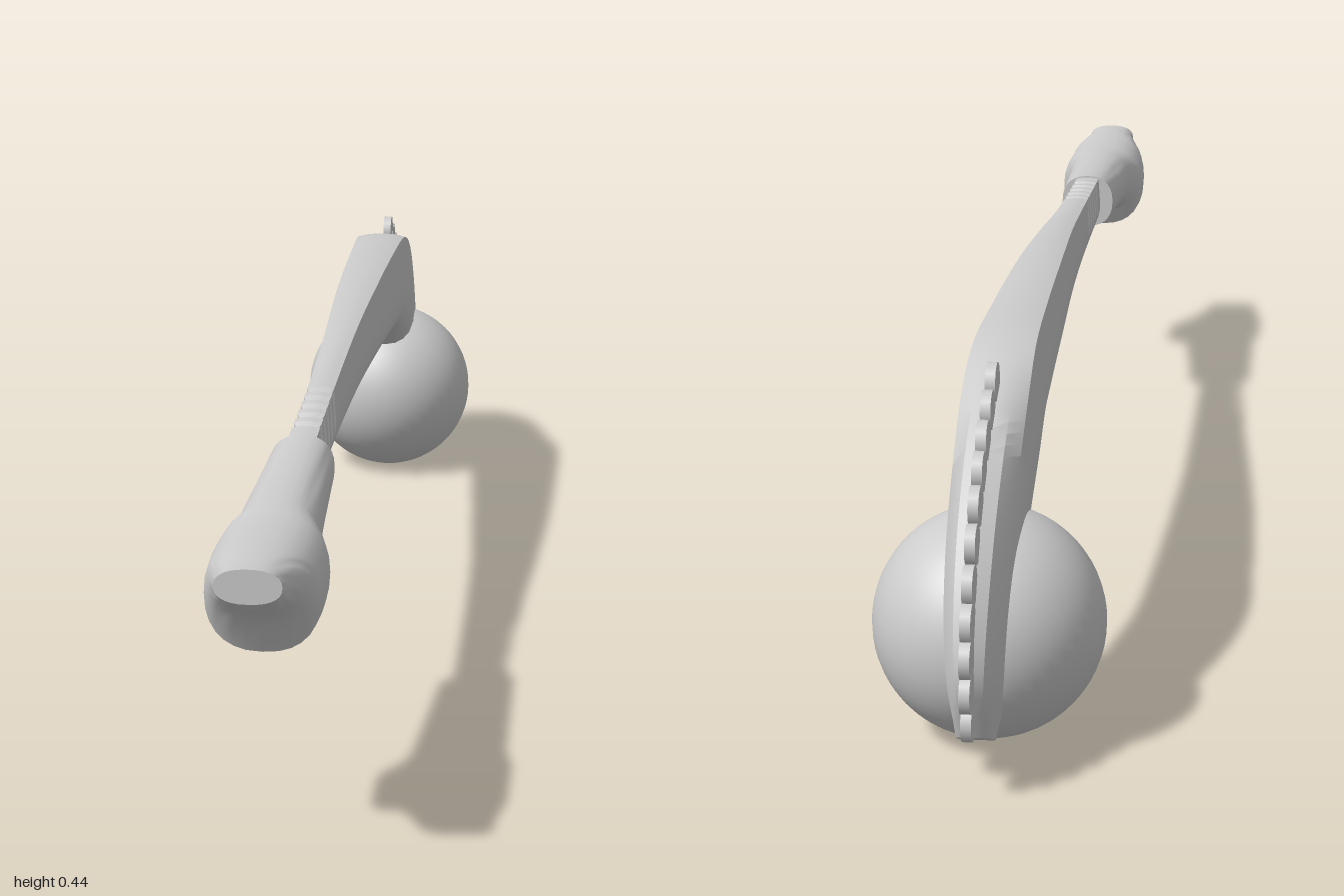
import * as THREE from 'three';
import { toCreasedNormals } from 'three/addons/utils/BufferGeometryUtils.js';

const material = new THREE.MeshStandardMaterial({ color: 0xcccccc, side: THREE.DoubleSide });

// Skin a list of closed rings (counter-clockwise seen from +z, running towards -z) and cap both ends
function loft(rings, crease) {
  const n = rings[0].length, pos = [], idx = [];
  rings.forEach(r => r.forEach(p => pos.push(p.x, p.y, p.z)));
  for (let i = 0; i < rings.length - 1; i++) {
    for (let j = 0; j < n; j++) {
      const a = i * n + j, b = i * n + (j + 1) % n;
      idx.push(a, a + n, b, b, a + n, b + n);
    }
  }
  const last = rings.length - 1;
  [0, last].forEach(k => {
    const c = rings[k].reduce((s, p) => s.add(p), new THREE.Vector3()).divideScalar(n);
    const ci = pos.length / 3;
    pos.push(c.x, c.y, c.z);
    for (let j = 0; j < n; j++) {
      const a = k * n + j, b = k * n + (j + 1) % n;
      if (k === 0) idx.push(ci, a, b); else idx.push(ci, b, a);
    }
  });
  const g = new THREE.BufferGeometry();
  g.setAttribute('position', new THREE.Float32BufferAttribute(pos, 3));
  g.setIndex(idx);
  return toCreasedNormals(g, crease);
}

// Shaft stations: top z, top y, bottom z, bottom y, half width
const stations = [
  [0.52, 0.39, 0.52, 0.318, 0.02], [0.2, 0.408, 0.2, 0.316, 0.021],
  [0, 0.424, 0, 0.316, 0.026], [-0.2, 0.434, -0.2, 0.31, 0.033],
  [-0.45, 0.436, -0.4, 0.298, 0.039], [-0.6, 0.431, -0.54, 0.284, 0.043],
  [-0.7, 0.408, -0.62, 0.257, 0.045], [-0.8, 0.362, -0.68, 0.225, 0.044],
  [-0.88, 0.302, -0.75, 0.18, 0.042], [-0.94, 0.22, -0.8, 0.12, 0.038],
  [-0.96, 0.14, -0.83, 0.08, 0.032], [-0.93, 0.06, -0.88, 0.035, 0.022]];
const segments = stations.length - 1;
const topCurve = new THREE.CatmullRomCurve3(stations.map(s => new THREE.Vector3(s[4], s[1], s[0])));
const bottomCurve = new THREE.CatmullRomCurve3(stations.map(s => new THREE.Vector3(s[4], s[3], s[2])));

function shaftRing(u) {
  const top = topCurve.getPoint(u / segments), bottom = bottomCurve.getPoint(u / segments);
  // Five grooves cut across the grip
  const z = top.z, groove = z > 0.3 && z < 0.475 && (z - 0.3) % 0.036 < 0.017;
  // The back of the hook becomes more domed towards its tip
  const dome = THREE.MathUtils.smoothstep(u, 5, 8);
  const edge = 0.97 - 0.17 * dome;
  const half = [[0, 0], [0.02, 0.4], [0.07, 0.68], [0.16, 0.9], [0.3, 1], [0.55, 0.98],
    [edge, 0.87], [edge + (1 - edge) * 0.75, 0.5]];
  const side = half.map(([v, x]) => {
    const cut = groove && v > 0.4;
    return [cut ? v * 0.87 : v, x * top.x * (cut ? 0.7 : 1)];
  });
  const crown = [[groove ? 0.87 : 1, 0]];
  const mirrored = side.slice(1).reverse().map(([v, x]) => [v, -x]);
  return [...side, ...crown, ...mirrored].map(([v, x]) => {
    const p = bottom.clone().lerp(top, v);
    p.x = x;
    return p;
  });
}

function ovalRing([z, top, bottom, w]) {
  const ring = [];
  for (let i = 0; i < 28; i++) {
    const a = i / 28 * Math.PI * 2, c = Math.cos(a), s = Math.sin(a);
    const x = Math.sign(c) * Math.abs(c) ** 0.85 * w;
    const y = (top + bottom) / 2 + Math.sign(s) * Math.abs(s) ** 0.85 * (top - bottom) / 2;
    ring.push(new THREE.Vector3(x, y, z));
  }
  return ring;
}

export function createModel() {
  const model = new THREE.Group();
  const add = (name, geometry, parent = model) => {
    const mesh = new THREE.Mesh(geometry, material);
    mesh.name = name;
    parent.add(mesh);
    return mesh;
  };

  // Curved shaft with grooved grip and hooked head
  const rings = [];
  for (let i = 0; i < 64; i++) rings.push(shaftRing(i / 64));
  for (let i = 0; i <= (segments - 1) * 6; i++) rings.push(shaftRing(1 + i / 6));
  add('shaft', loft(rings, 0.55));

  // Striking ball held in the hook
  add('ball', new THREE.SphereGeometry(0.136, 48, 32)).position.set(0, 0.137, -0.77);

  // Handle neck and flared pommel: z, top, bottom, half width
  add('pommel', loft([
    [1, 0.381, 0.342, 0.037], [0.975, 0.381, 0.325, 0.039], [0.95, 0.381, 0.316, 0.046],
    [0.925, 0.381, 0.303, 0.053], [0.905, 0.381, 0.282, 0.06], [0.885, 0.381, 0.248, 0.065],
    [0.84, 0.381, 0.247, 0.067], [0.8, 0.381, 0.249, 0.066], [0.785, 0.382, 0.276, 0.06],
    [0.755, 0.384, 0.288, 0.049], [0.65, 0.387, 0.3, 0.045], [0.505, 0.393, 0.312, 0.04]
  ].map(ovalRing), 0.6));

  // Scalloped crest along the back of the hook
  const crest = new THREE.Group();
  crest.name = 'crest';
  model.add(crest);
  const bumps = 11, bump = new THREE.CylinderGeometry(0.023, 0.023, 0.012, 18).rotateZ(Math.PI / 2);
  for (let i = 0; i < bumps; i++) {
    const t = (6.25 + 4.25 * i / (bumps - 1)) / segments;
    const p = topCurve.getPoint(t), d = topCurve.getTangent(t);
    const out = new THREE.Vector3(0, -d.z, d.y).normalize();
    add('crestBump', bump, crest).position.set(0, p.y + out.y * 0.015, p.z + out.z * 0.015);
  }
  return model;
}
